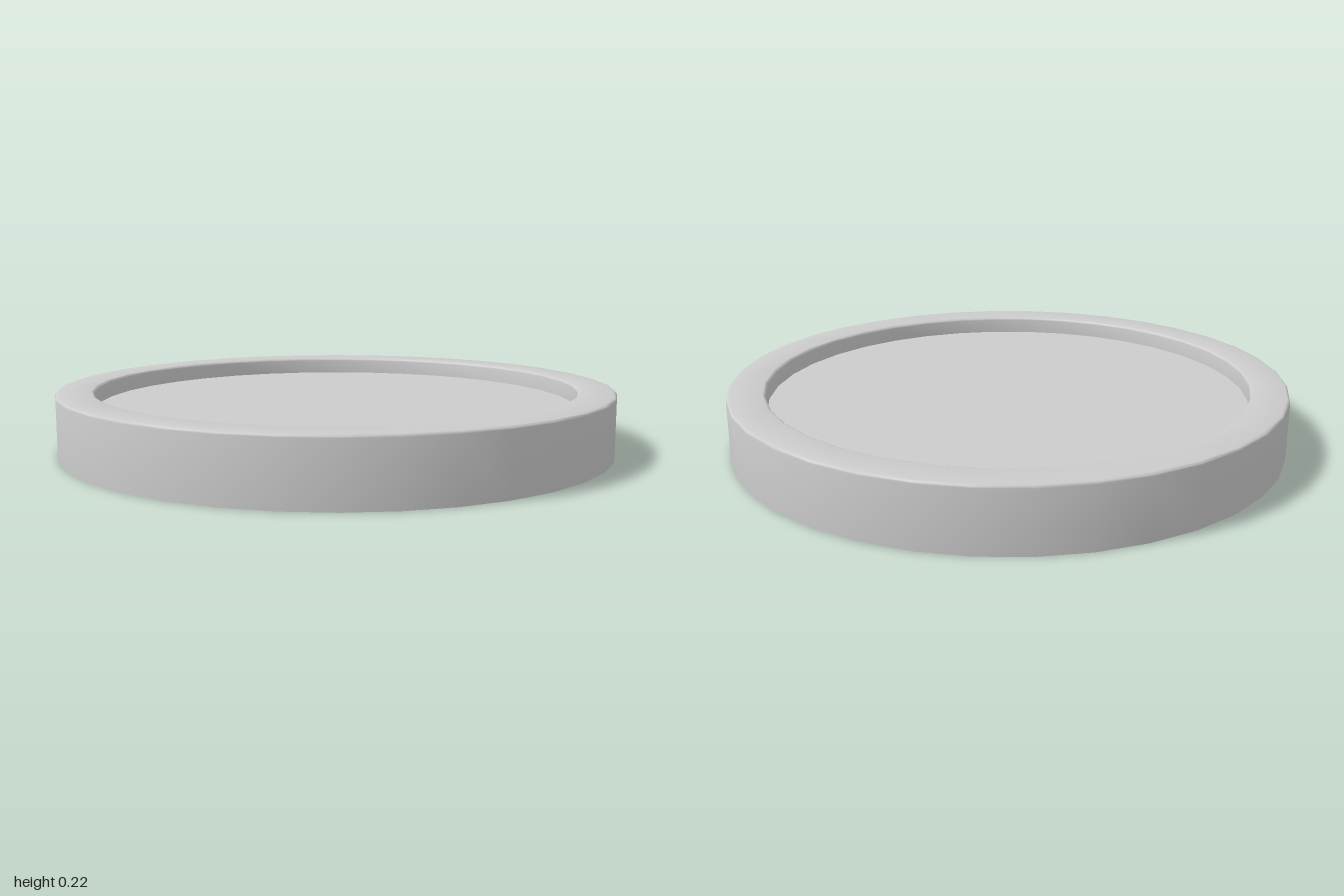
import * as THREE from 'three';
import { toCreasedNormals } from 'three/addons/utils/BufferGeometryUtils.js';

const SIDES = 36;
const HEIGHT = 0.22;
const FLOOR = 0.157;
const OUTER = 1;
const INNER = 0.866;
const BEVEL = 0.01;

// Quarter-round edge between two directions, in the profile plane
function roundedEdge(cx, cy, from, to, steps = 3) {
  return Array.from({ length: steps + 1 }, (_, i) => {
    const a = from + ((to - from) * i) / steps;
    return new THREE.Vector2(cx + BEVEL * Math.cos(a), cy + BEVEL * Math.sin(a));
  });
}

export function createModel() {
  const model = new THREE.Group();
  model.name = 'shallowRoundTray';
  const material = new THREE.MeshStandardMaterial({ color: 0xcccccc });

  // Raised rim: outer wall, softened top edges, inner wall
  const top = HEIGHT - BEVEL;
  const profile = [
    new THREE.Vector2(OUTER, 0),
    ...roundedEdge(OUTER - BEVEL, top, 0, Math.PI / 2),
    ...roundedEdge(INNER + BEVEL, top, Math.PI / 2, Math.PI),
    new THREE.Vector2(INNER - 0.002, FLOOR),
  ];
  const rim = new THREE.Mesh(
    toCreasedNormals(new THREE.LatheGeometry(profile, SIDES), Math.PI / 4),
    material
  );
  rim.name = 'rim';
  model.add(rim);

  // Flat discs: recessed floor facing up, underside facing down
  const addDisc = (name, radius, y, tilt) => {
    const disc = new THREE.Mesh(new THREE.CircleGeometry(radius, SIDES), material);
    disc.name = name;
    disc.rotation.x = tilt;
    disc.position.y = y;
    model.add(disc);
  };
  addDisc('recessedFloor', INNER - 0.002, FLOOR, -Math.PI / 2);
  addDisc('underside', OUTER, 0, Math.PI / 2);

  return model;
}
